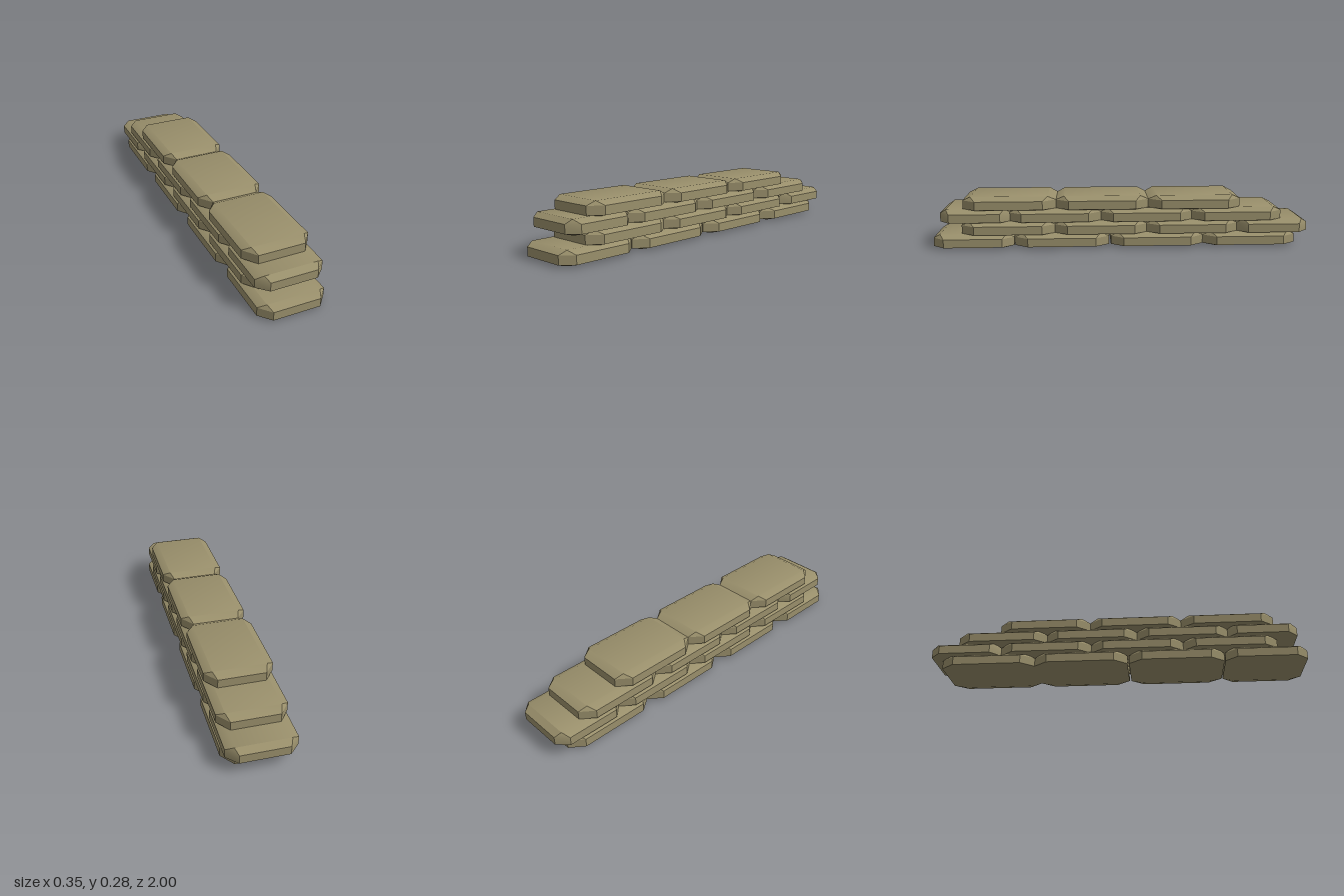
import * as THREE from 'three';
import { toCreasedNormals } from 'three/addons/utils/BufferGeometryUtils.js';

const HEIGHT = 0.079, STEP = 0.0667, HALF_WIDTH = 0.173;

// Octagonal ring at height y; insets pull the corners in, as a share of the half length in z
function ring(y, halfLength, x, z, cutX, cutZ) {
  const zo = z * halfLength, zi = (z - cutZ) * halfLength, xi = x - cutX;
  return [[x, zi], [xi, zo], [-xi, zo], [-x, zi], [-x, -zi], [-xi, -zo], [xi, -zo], [x, -zi]]
    .map(([px, pz]) => [px, y, pz]);
}

// Filled bag: flat base, shallow lower bevel, upright wall, steeper upper bevel
function bagGeometry(length) {
  const h = length / 2;
  const rings = [
    ring(0, h, 0.12, 0.74, 0, 0),
    ring(0.013, h, HALF_WIDTH, 1, 0.053, 0.28),
    ring(0.058, h, HALF_WIDTH, 1, 0.053, 0.28),
    ring(HEIGHT, h, 0.135, 0.825, 0, 0),
  ];
  const pos = [];
  const same = (a, b) => a.every((v, i) => Math.abs(v - b[i]) < 1e-6);
  const tri = (a, b, c) => {
    if (!same(a, b) && !same(b, c) && !same(a, c)) pos.push(...a, ...b, ...c);
  };
  for (let r = 0; r < rings.length - 1; r++) {
    const lo = rings[r], hi = rings[r + 1];
    for (let i = 0; i < 8; i++) {
      const j = (i + 1) % 8;
      tri(lo[i], hi[i], hi[j]);
      tri(lo[i], hi[j], lo[j]);
    }
  }
  // Rectangular base and top
  const b = rings[0], t = rings[3];
  tri(b[0], b[2], b[4]);
  tri(b[0], b[4], b[6]);
  tri(t[0], t[4], t[2]);
  tri(t[0], t[6], t[4]);
  const g = new THREE.BufferGeometry();
  // Rings run clockwise from above, so each triangle is turned to face outward
  for (let k = 0; k < pos.length; k += 9) {
    const [A, B, C] = [0, 3, 6].map((o) => new THREE.Vector3(...pos.slice(k + o, k + o + 3)));
    const n = B.clone().sub(A).cross(C.clone().sub(A));
    const out = A.clone().add(B).add(C).divideScalar(3).sub(new THREE.Vector3(0, HEIGHT / 2, 0));
    if (n.dot(out) < 0) {
      for (let m = 0; m < 3; m++) [pos[k + 3 + m], pos[k + 6 + m]] = [pos[k + 6 + m], pos[k + 3 + m]];
    }
  }
  g.setAttribute('position', new THREE.Float32BufferAttribute(pos, 3));
  return toCreasedNormals(g, 0.55);
}

export function createModel() {
  const model = new THREE.Group();
  model.name = 'sandbagWall';
  const material = new THREE.MeshStandardMaterial({ color: 0x998f6b });

  // Front and back end of each bag along z, one list per layer from the ground up
  const layers = [
    [[1.0, 0.575], [0.57, 0.07], [0.06, -0.435], [-0.435, -0.935]],
    [[0.85, 0.355], [0.36, -0.135], [-0.13, -0.62], [-0.62, -1.0]],
    [[0.96, 0.59], [0.6, 0.11], [0.115, -0.375], [-0.37, -0.855]],
    [[0.84, 0.35], [0.35, -0.14], [-0.14, -0.63]],
  ];
  layers.forEach((bags, level) => {
    const layer = new THREE.Group();
    layer.name = `layer${level + 1}`;
    layer.position.y = level * STEP;
    bags.forEach(([front, back], i) => {
      const bag = new THREE.Mesh(bagGeometry(front - back), material);
      bag.name = `sandbag${i + 1}`;
      bag.position.z = (front + back) / 2;
      layer.add(bag);
    });
    model.add(layer);
  });
  return model;
}
